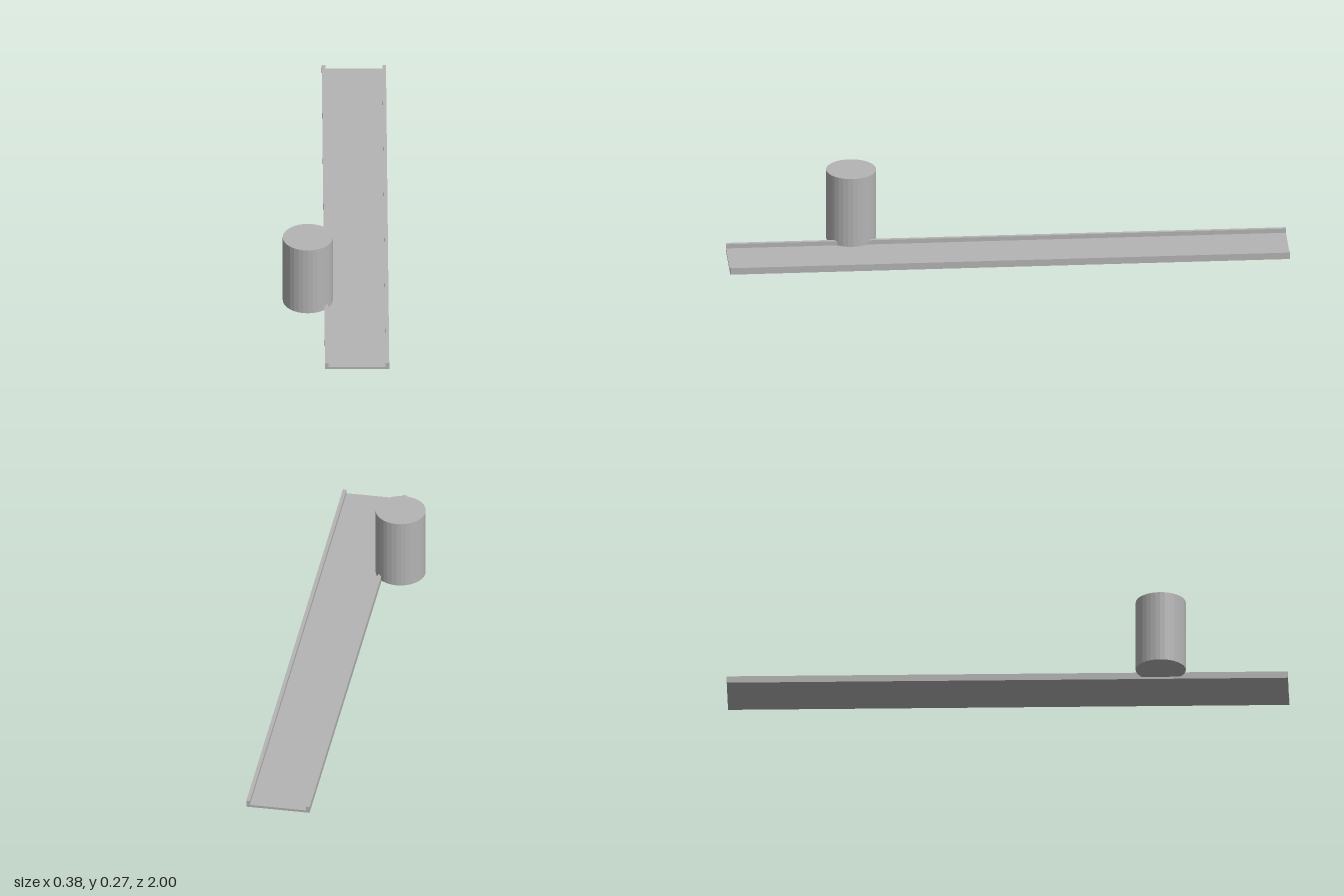
import * as THREE from 'three';

export function createModel() {
  const model = new THREE.Group();
  const grey = new THREE.MeshStandardMaterial({ color: 0xb4b4b4 });
  grey.name = 'plain grey';

  // Long channel: a thin floor with an upright lip along each side
  const left = -0.041, right = 0.188, lip = 0.013, floor = 0.009, height = 0.025;
  const profile = new THREE.Shape([
    [left, 0], [right, 0], [right, height], [right - lip, height],
    [right - lip, floor], [left + lip, floor], [left + lip, height], [left, height],
  ].map(([x, y]) => new THREE.Vector2(x, y)));
  const channelGeometry = new THREE.ExtrudeGeometry(profile, { depth: 2, bevelEnabled: false });
  channelGeometry.translate(0, 0, -1);
  const channel = new THREE.Mesh(channelGeometry, grey);
  channel.name = 'channel';
  model.add(channel);

  // Upright drum overlapping one lip, with faceted sides
  const bottom = 0.008, top = 0.272;
  const drumGeometry = new THREE.CylinderGeometry(0.0895, 0.0895, top - bottom, 32).toNonIndexed();
  drumGeometry.computeVertexNormals();
  const drum = new THREE.Mesh(drumGeometry, grey);
  drum.name = 'drum';
  drum.position.set(-0.0995, (top + bottom) / 2, 0.548);
  model.add(drum);

  return model;
}
